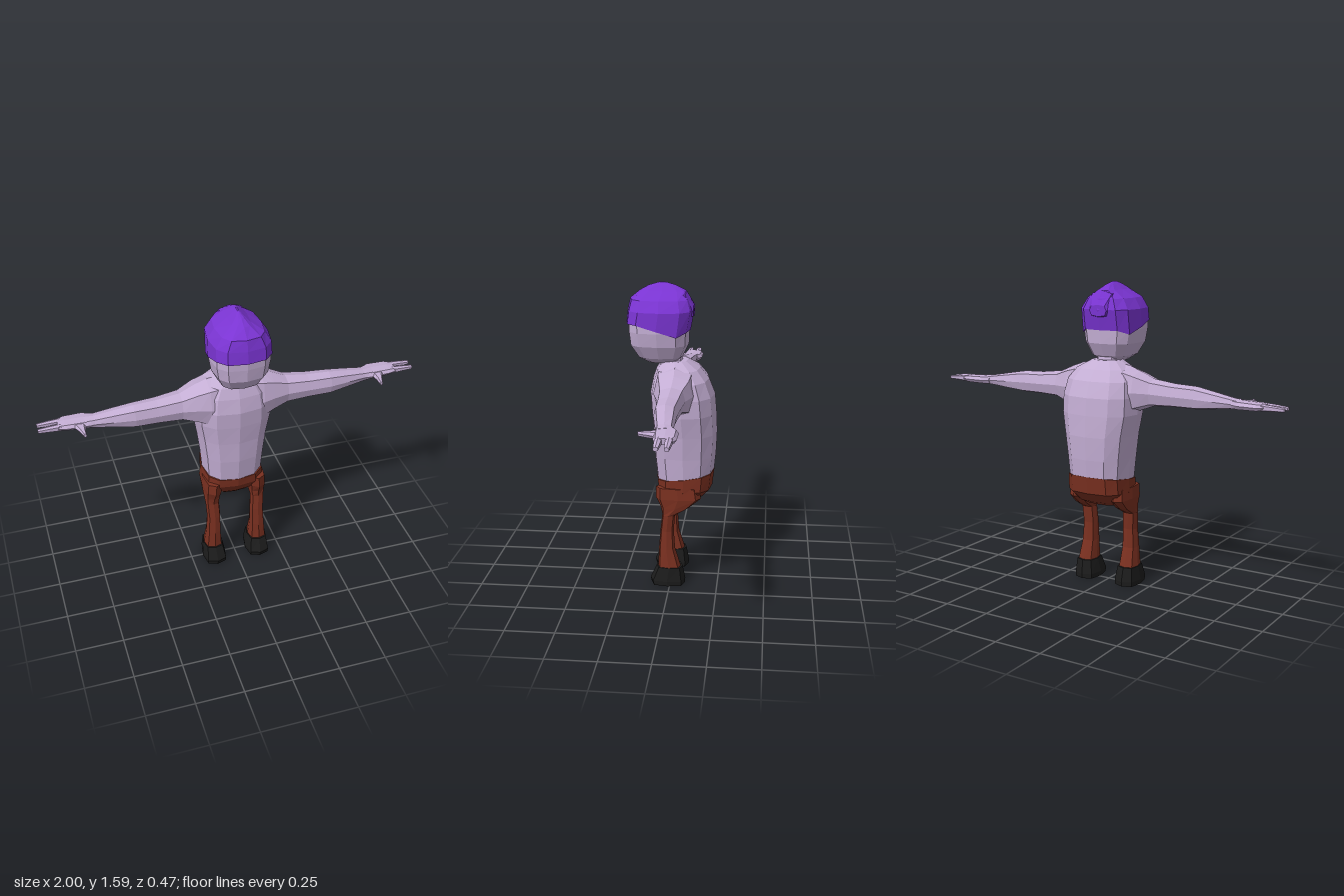
import * as THREE from 'three';

const mat = (color) => new THREE.MeshStandardMaterial({ color, flatShading: true });

// Loft closed rings along an axis. Each section: [position, uMin, uMax, vMin, vMax];
// (u, v) is (z, x) along y, (y, z) along x and (x, y) along z.
// power < 1 makes rings boxier; bend(point, ringIndex) may adjust a point.
function loft(name, material, axis, sections, { sides = 10, power = 0.7, side = 1, bend } = {}) {
  const soft = (c) => Math.sign(c) * Math.pow(Math.abs(c), power);
  const place = {
    x: (a, u, v) => new THREE.Vector3(a, u, v),
    y: (a, u, v) => new THREE.Vector3(v, a, u),
    z: (a, u, v) => new THREE.Vector3(u, v, a),
  }[axis];
  const positions = [], index = [];
  const add = (p, i) => {
    if (bend) bend(p, i);
    positions.push(p.x * side, p.y, p.z);
  };
  sections.forEach(([a, u0, u1, v0, v1], i) => {
    for (let j = 0; j < sides; j++) {
      const t = (j / sides) * Math.PI * 2;
      add(place(a, (u0 + u1) / 2 + soft(Math.cos(t)) * (u1 - u0) / 2,
        (v0 + v1) / 2 + soft(Math.sin(t)) * (v1 - v0) / 2), i);
    }
  });
  const last = sections.length - 1;
  for (const i of [0, last]) {
    const [a, u0, u1, v0, v1] = sections[i];
    add(place(a, (u0 + u1) / 2, (v0 + v1) / 2), i);
  }
  const tri = (a, b, c) => (side > 0 ? index.push(a, b, c) : index.push(a, c, b));
  const bottom = sections.length * sides;
  for (let j = 0; j < sides; j++) {
    const k = (j + 1) % sides;
    for (let i = 0; i < last; i++) {
      const p = i * sides, q = p + sides;
      tri(p + j, p + k, q + k);
      tri(p + j, q + k, q + j);
    }
    tri(bottom, k, j);
    tri(bottom + 1, last * sides + j, last * sides + k);
  }
  const g = new THREE.BufferGeometry();
  g.setAttribute('position', new THREE.Float32BufferAttribute(positions, 3));
  g.setIndex(index);
  const flat = g.toNonIndexed();
  flat.computeVertexNormals();
  const mesh = new THREE.Mesh(flat, material);
  mesh.name = name;
  return mesh;
}

export function createModel() {
  const root = new THREE.Group();
  root.name = 'figure';
  const skin = mat(0xc4aed4), cloth = mat(0x7a3020), purple = mat(0x7a34d2), black = mat(0x1c1c1c);

  // Torso with rounded, humped back; the waist ring rises toward the back
  root.add(loft('torso', skin, 'y', [
    [0.58, -0.22, 0.08, -0.16, 0.16],
    [0.7, -0.23, 0.095, -0.17, 0.17],
    [0.82, -0.235, 0.1, -0.185, 0.185],
    [0.93, -0.23, 0.11, -0.205, 0.205],
    [1.02, -0.222, 0.115, -0.205, 0.205],
    [1.1, -0.19, 0.1, -0.19, 0.19],
    [1.155, -0.145, 0.08, -0.15, 0.15],
    [1.195, -0.08, 0.05, -0.08, 0.08],
  ], { sides: 12, power: 0.8, bend: (p, i) => { if (i === 0) p.y -= 0.13 * (p.z + 0.07); } }));

  // Neck and head
  root.add(loft('neck', skin, 'y', [
    [1.13, -0.09, 0.08, -0.09, 0.09],
    [1.19, -0.055, 0.065, -0.06, 0.06],
    [1.25, -0.04, 0.08, -0.06, 0.06],
  ]));
  root.add(loft('head', skin, 'y', [
    [1.185, -0.02, 0.125, -0.06, 0.06],
    [1.215, -0.055, 0.175, -0.105, 0.105],
    [1.28, -0.085, 0.218, -0.138, 0.138],
    [1.35, -0.088, 0.226, -0.15, 0.15],
    [1.42, -0.085, 0.228, -0.148, 0.148],
  ], { sides: 12 }));

  // Cap with a pointed ridge; the rim dips at the sides and back
  root.add(loft('cap', purple, 'y', [
    [1.39, -0.093, 0.236, -0.155, 0.155],
    [1.455, -0.112, 0.228, -0.153, 0.153],
    [1.51, -0.095, 0.215, -0.118, 0.118],
    [1.55, -0.07, 0.165, -0.052, 0.052],
    [1.575, -0.02, 0.12, -0.022, 0.022],
    [1.59, 0.03, 0.07, -0.004, 0.004],
  ], {
    sides: 12,
    bend: (p, i) => {
      if (i === 0 && p.z < 0.13) p.y = p.z < -0.05 ? 1.35 : 1.33 + 0.06 * Math.max(0, p.z / 0.13);
    },
  }));
  // Raised tuft at the back of the cap
  root.add(loft('capTuft', purple, 'z', [
    [-0.11, -0.05, 0.05, 1.42, 1.48],
    [-0.07, -0.075, 0.075, 1.4, 1.55],
    [0.0, -0.06, 0.06, 1.42, 1.55],
  ], { sides: 8 }));

  // Trouser seat
  root.add(loft('hips', cloth, 'y', [
    [0.44, -0.11, 0.02, -0.09, 0.09],
    [0.465, -0.16, 0.045, -0.125, 0.125],
    [0.52, -0.212, 0.077, -0.165, 0.165],
    [0.59, -0.222, 0.082, -0.163, 0.163],
  ], { sides: 12, bend: (p, i) => { if (i === 3) p.y -= 0.13 * (p.z + 0.07); } }));

  for (const side of [1, -1]) {
    const label = side > 0 ? 'left' : 'right';

    // Leg
    root.add(loft(label + 'Leg', cloth, 'y', [
      [0.08, -0.062, 0.065, 0.078, 0.178],
      [0.2, -0.025, 0.06, 0.085, 0.166],
      [0.3, -0.018, 0.052, 0.086, 0.16],
      [0.39, -0.025, 0.042, 0.09, 0.165],
      [0.43, -0.1, 0.05, 0.083, 0.167],
      [0.48, -0.16, 0.075, 0.075, 0.17],
      [0.54, -0.15, 0.075, 0.07, 0.166],
    ], { sides: 8, side }));

    // Hoof-shaped shoe
    root.add(loft(label + 'Shoe', black, 'y', [
      [0, -0.078, 0.1, 0.062, 0.186],
      [0.025, -0.08, 0.106, 0.06, 0.188],
      [0.1, -0.066, 0.072, 0.074, 0.18],
    ], { sides: 8, side, power: 0.65 }));

    // Arm from the shoulder to the wrist
    root.add(loft(label + 'Arm', skin, 'x', [
      [0.06, 0.9, 1.185, -0.13, 0.085],
      [0.14, 0.915, 1.172, -0.13, 0.085],
      [0.2, 0.945, 1.15, -0.12, 0.072],
      [0.28, 0.975, 1.115, -0.09, 0.052],
      [0.4, 0.98, 1.1, -0.078, 0.045],
      [0.52, 0.98, 1.095, -0.07, 0.042],
      [0.62, 0.992, 1.078, -0.072, 0.026],
      [0.72, 1.005, 1.06, -0.072, 0.01],
      [0.77, 1.01, 1.056, -0.09, 0.008],
    ], { sides: 8, side }));

    // Palm, two fingers and a forward thumb
    root.add(loft(label + 'Palm', skin, 'x', [
      [0.73, 1.008, 1.055, -0.08, 0.01],
      [0.77, 1.01, 1.055, -0.102, 0.012],
      [0.865, 1.012, 1.052, -0.102, 0.005],
      [0.9, 1.018, 1.048, -0.088, -0.002],
    ], { sides: 8, side }));
    for (const [z0, z1] of [[-0.088, -0.052], [-0.04, -0.004]]) {
      root.add(loft(label + 'Finger', skin, 'x', [
        [0.88, 1.014, 1.05, z0, z1],
        [0.94, 1.018, 1.046, z0 + 0.002, z1 - 0.002],
        [1.0, 1.02, 1.04, z0 + 0.006, z1 - 0.006],
      ], { sides: 6, side }));
    }
    root.add(loft(label + 'Thumb', skin, 'z', [
      [-0.03, 0.765, 0.85, 1.015, 1.05],
      [0.01, 0.765, 0.82, 1.015, 1.048],
      [0.04, 0.772, 0.805, 1.016, 1.046],
      [0.082, 0.775, 0.79, 1.02, 1.042],
    ], { sides: 6, side }));
  }
  return root;
}
